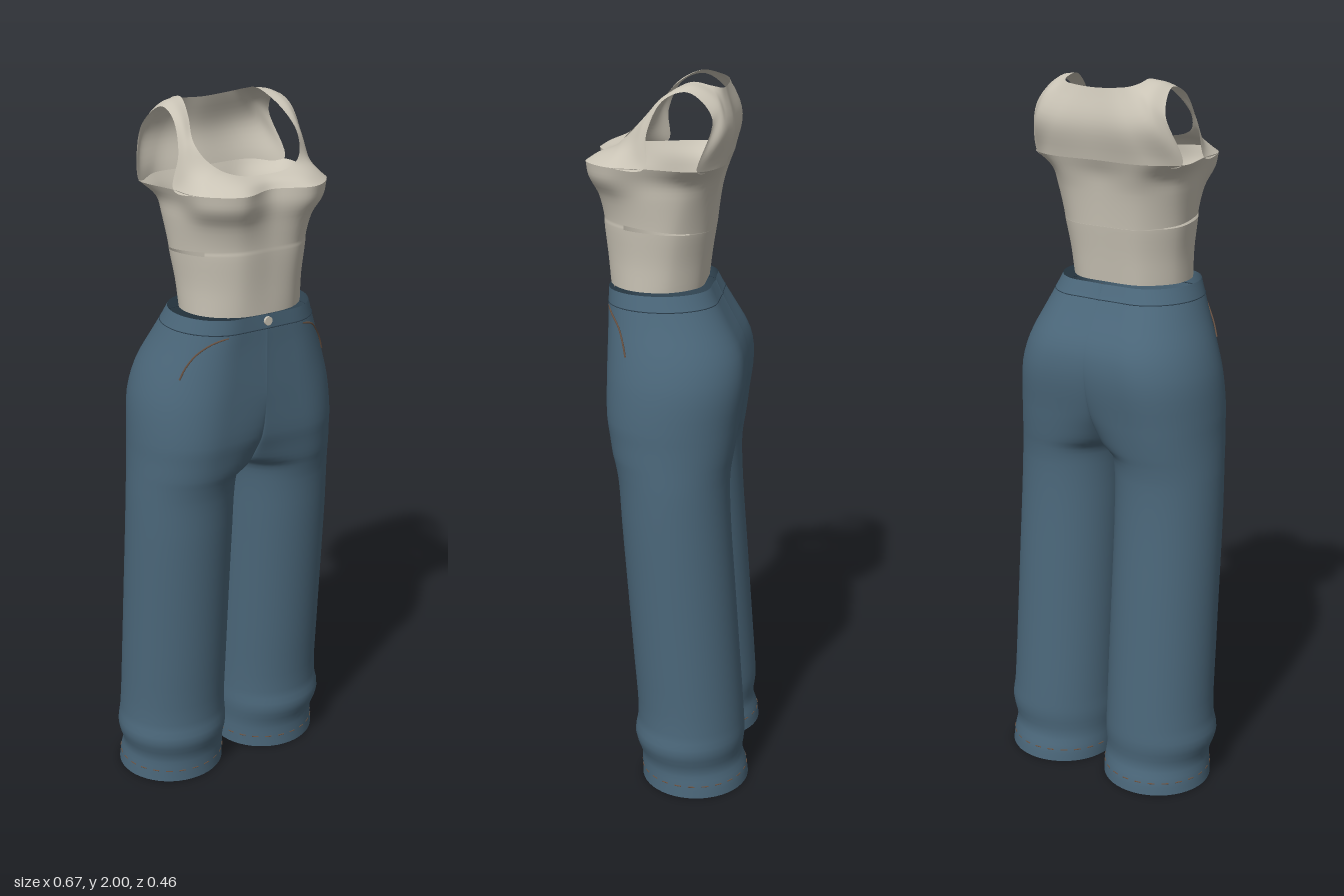
import * as THREE from 'three';
import { mergeGeometries, mergeVertices } from 'three/addons/utils/BufferGeometryUtils.js';

const V = (p) => new THREE.Vector3(...p);
const flat = (name, color) => new THREE.MeshStandardMaterial({ name, color, side: THREE.DoubleSide });

// Skin through rows of points, smoothed upwards; skip(span, centre) leaves an opening
function loft(rows, steps, closed, skip = () => false) {
  const n = rows[0].length, spans = rows.length - 1, levels = spans * steps;
  const curves = rows[0].map((_, i) => new THREE.CatmullRomCurve3(rows.map((r) => r[i])));
  const pos = [], index = [], pts = [];
  for (let j = 0; j <= levels; j++)
    for (let i = 0; i < n; i++) {
      const p = curves[i].getPoint(j / levels);
      pts.push(p);
      pos.push(p.x, p.y, p.z);
    }
  for (let j = 0; j < levels; j++)
    for (let i = 0; i < (closed ? n : n - 1); i++) {
      const a = j * n + i, b = j * n + (i + 1) % n, c = a + n, d = b + n;
      const mid = pts[a].clone().add(pts[d]).multiplyScalar(0.5);
      if (!skip(Math.floor(j / steps), mid)) index.push(a, b, d, a, d, c);
    }
  const g = new THREE.BufferGeometry();
  g.setAttribute('position', new THREE.Float32BufferAttribute(pos, 3));
  g.setIndex(index);
  g.computeVertexNormals();
  return g;
}

// Closed loop from points on the left half, front centre to back centre
function mirroredLoop(half, per) {
  const other = half.slice(1, -1).reverse().map(([x, y, z]) => [-x, y, z]);
  const curve = new THREE.CatmullRomCurve3([...half, ...other].map(V), true);
  return curve.getPoints((half.length * 2 - 2) * per).slice(0, -1);
}

// One trouser leg section: inner front, outer front, outer back, inner back
function legRow([y, hw, zf, zb, cx, zmF, zmB, gap]) {
  const cz = (zf + zb) / 2, q = 12, out = [];
  for (let i = 0; i <= q * 4; i++) {
    const t = (i / q) * Math.PI / 2 - Math.PI / 2; // 0 at front, PI at back
    const front = i <= q * 2, outer = i >= q && i <= q * 3;
    const zEnd = outer ? cz : front ? zmF : zmB;
    const edge = front ? zf : zb;
    const x = cx + (outer ? hw - cx : cx - gap) * Math.sin(t);
    const k = Math.abs(Math.cos(t));
    out.push(new THREE.Vector3(i === 0 || i === q * 4 ? gap : x, y, zEnd + (edge - zEnd) * k));
  }
  return out;
}

function mirrorX(g) {
  const m = g.clone().scale(-1, 1, 1);
  const a = m.index.array;
  for (let i = 0; i < a.length; i += 3) [a[i], a[i + 1]] = [a[i + 1], a[i]];
  return m;
}

export function createModel() {
  const model = new THREE.Group();
  const denim = flat('denim blue', 0x4b677a);
  const seamBlue = flat('seam blue', 0x2f4352);
  const cream = flat('cream cloth', 0xcac4b6);
  const thread = flat('brown thread', 0x6e5646);
  const add = (name, geo, mat) => {
    const m = new THREE.Mesh(geo, mat);
    m.name = name;
    model.add(m);
    return m;
  };
  const cord = (name, pts, r, mat, closed = false) =>
    add(name, new THREE.TubeGeometry(new THREE.CatmullRomCurve3(pts, closed), pts.length * 3, r, 4, closed), mat);

  // Trousers: y, half width, front z, back z, leg centre x, centre seam z front and back, gap
  const legs = [
    [0, .325, .08, -.23, .168, -.075, -.075, .012],
    [.035, .322, .08, -.225, .168, -.073, -.073, .012],
    [.08, .318, .082, -.212, .167, -.065, -.065, .014],
    [.14, .335, .1, -.218, .17, -.06, -.06, .01],
    [.2, .326, .092, -.215, .168, -.06, -.06, .012],
    [.4, .322, .105, -.2, .167, -.048, -.048, .012],
    [.6, .32, .12, -.185, .166, -.033, -.033, .012],
    [.8, .318, .135, -.17, .164, -.018, -.018, .011],
    [.92, .315, .143, -.166, .162, -.012, -.012, .008],
    [.97, .312, .152, -.17, .16, -.012, -.012, 0],
    [1.0, .31, .16, -.175, .157, .08, -.09, 0],
    [1.05, .307, .168, -.182, .152, .13, -.14, 0],
    [1.1, .305, .176, -.188, .146, .16, -.17, 0],
    [1.2, .295, .178, -.2, .13, .178, -.195, 0],
    [1.28, .272, .178, -.19, .112, .18, -.19, 0],
    [1.36, .237, .177, -.148, .1, .18, -.15, 0],
    [1.41, .216, .178, -.12, .088, .18, -.123, 0],
    [1.45, .2, .178, -.1, .08, .18, -.105, 0],
  ];
  const leg = loft(legs.map(legRow), 3, false);
  leg.deleteAttribute('normal');
  const trousers = mergeVertices(mergeGeometries([leg, mirrorX(leg)]), 1e-4);
  trousers.computeVertexNormals();
  add('trousers', trousers, denim);

  // Waistband seam, hem stitching and pocket stitching
  const waist = legRow(legs[16]);
  const flip = (p) => new THREE.Vector3(-p.x, p.y, p.z);
  cord('waistbandSeam', [...waist, ...waist.slice(1, -1).reverse().map(flip)], .0015, seamBlue, true);
  for (const s of [1, -1]) {
    const side = s > 0 ? 'left' : 'right';
    const hem = legRow(legs[1]).slice(0, -1).map((p) => p.setX(p.x * s));
    for (let i = 0; i < hem.length; i += 2)
      cord(side + 'HemStitch', [hem[i], hem[(i + 1) % hem.length]], .002, thread);
    const pocket = [[.12, 1.402, .173], [.16, 1.39, .159], [.195, 1.36, .134], [.22, 1.325, .119], [.235, 1.29, .11]];
    cord(side + 'PocketStitch', pocket.map(([x, y, z]) => V([x * s, y, z])), .0025, thread);
  }
  const button = add('button', new THREE.CylinderGeometry(.012, .012, .008, 20), cream);
  button.rotation.x = Math.PI / 2;
  button.position.set(0, 1.432, .182);

  // Bodice: sections from waist to underarm, with a narrow slit at each side
  const level = (y, tilt, xz) => mirroredLoop(xz.map(([x, z]) => [x, y + tilt * z, z]), 8);
  const slitShape = [[0, .191], [.091, .186], [.156, .131], [.183, .06], [.181, -.021], [.111, -.091], [0, -.101]];
  const bodice = [
    level(1.452, 0, [[0, .18], [.085, .17], [.145, .125], [.17, .07], [.165, 0], [.1, -.07], [0, -.08]]),
    level(1.53, 0, [[0, .184], [.086, .177], [.147, .127], [.173, .066], [.17, -.01], [.104, -.079], [0, -.09]]),
    level(1.612, .05, slitShape),
    level(1.618, .1, slitShape),
    level(1.7, 0, [[0, .195], [.1, .2], [.17, .14], [.193, .06], [.19, -.04], [.12, -.105], [0, -.11]]),
    level(1.75, 0, [[0, .2], [.11, .225], [.19, .16], [.2, .06], [.2, -.05], [.13, -.12], [0, -.118]]),
    level(1.79, 0, [[0, .195], [.11, .232], [.2, .16], [.215, .06], [.235, -.08], [.15, -.135], [0, -.135]]),
  ];
  const slit = (span, c) => span === 2 && c.z > -.05 && c.z < .125 && Math.abs(c.x) > .13;
  add('bodice', loft(bodice, 4, true, slit), cream);

  // Yoke and straps: from bust and armhole edge to neckline
  const yoke = [
    [[0, 1.79, .195], [.11, 1.79, .232], [.2, 1.79, .16], [.215, 1.79, .06], [.195, 1.88, .055], [.185, 1.96, .015],
      [.183, 1.982, -.05], [.205, 1.92, -.115], [.235, 1.79, -.08], [.15, 1.79, -.135], [0, 1.79, -.135]],
    [[0, 1.807, .18], [.095, 1.81, .2], [.165, 1.82, .145], [.19, 1.835, .09], [.18, 1.9, .066], [.166, 1.963, .022],
      [.155, 1.995, -.055], [.165, 1.955, -.125], [.18, 1.895, -.145], [.11, 1.885, -.16], [0, 1.885, -.153]],
    [[0, 1.82, .155], [.07, 1.825, .155], [.12, 1.842, .138], [.15, 1.872, .105], [.16, 1.91, .07], [.142, 1.963, .02],
      [.12, 2.0, -.05], [.116, 1.992, -.1], [.1, 1.985, -.122], [.06, 1.98, -.13], [0, 1.977, -.13]],
  ].map((half) => mirroredLoop(half, 8));
  add('yokeAndStraps', loft(yoke, 6, true), cream);

  return model;
}
